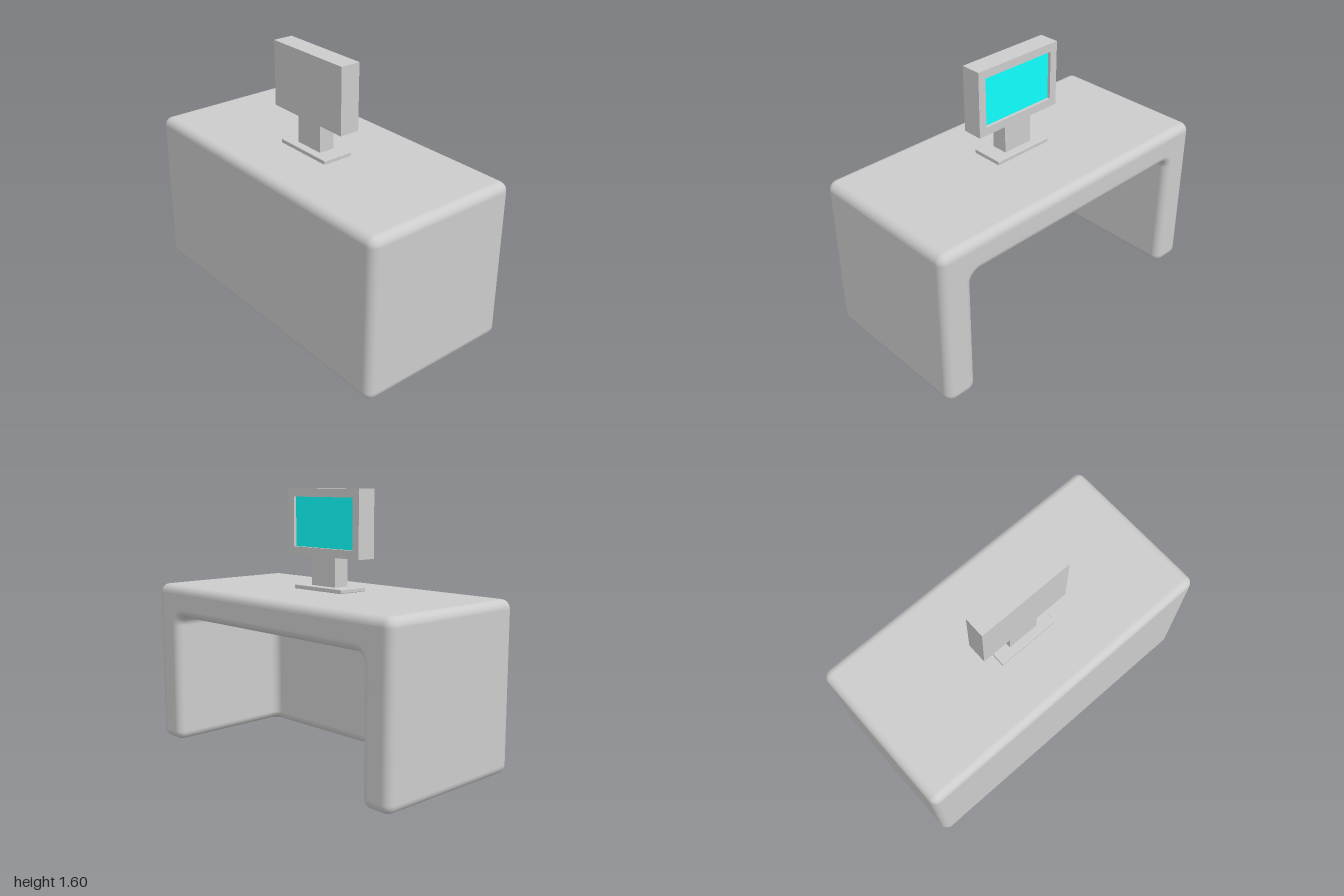
import * as THREE from 'three';
import { mergeVertices } from 'three/addons/utils/BufferGeometryUtils.js';
import { RoundedBoxGeometry } from 'three/addons/geometries/RoundedBoxGeometry.js';

const R = 0.055; // edge rounding of the desk
const N = 8;     // segments per rounded edge
const grey = new THREE.MeshStandardMaterial({ color: 0xcccccc });
const greyDouble = new THREE.MeshStandardMaterial({ color: 0xcccccc, side: THREE.DoubleSide });
const cyan = new THREE.MeshStandardMaterial({ color: 0x10ffff });

function add(group, name, geometry, material = grey, x = 0, y = 0, z = 0) {
  const mesh = new THREE.Mesh(geometry, material);
  mesh.name = name;
  mesh.position.set(x, y, z);
  group.add(mesh);
  return mesh;
}

// Right-angled polygon with every corner rounded by radius r
function roundedShape(corners, r) {
  const pts = [];
  const n = corners.length;
  corners.forEach((c, i) => {
    const p = new THREE.Vector2(...c);
    const toPrev = new THREE.Vector2(...corners[(i + n - 1) % n]).sub(p).setLength(r);
    const toNext = new THREE.Vector2(...corners[(i + 1) % n]).sub(p).setLength(r);
    const centre = p.clone().add(toPrev).add(toNext);
    for (let k = 0; k <= N; k++) {
      const t = (k / N) * Math.PI / 2;
      pts.push(centre.clone().addScaledVector(toNext, -Math.cos(t)).addScaledVector(toPrev, -Math.sin(t)));
    }
  });
  return new THREE.Shape(pts);
}

// Concave fillet where the back panel meets the legs and the underside of the top
function filletGeometry() {
  const wall = 0.8, panelX = -0.3, half = [];
  // each station maps a fillet inset d and depth x to a point [x, y, z]
  half.push(() => [panelX - R, 0, wall + R]);
  for (let k = N; k >= 0; k--) {
    const a = (k / N) * Math.PI / 2;
    const f = R * (1 - Math.cos(a)), y = R * (1 - Math.sin(a));
    half.push((d, x) => [x - f, y, wall - d + f]);
  }
  for (let k = 0; k <= N; k++) {
    const a = (k / N) * Math.PI / 2;
    half.push((d, x) => [x, wall - R + (R - d) * Math.sin(a), wall - R + (R - d) * Math.cos(a)]);
  }
  const mirrored = half.map(s => (d, x) => { const [px, y, z] = s(d, x); return [px, y, -z]; });
  const stations = [...half, ...mirrored.reverse()];
  const position = [], index = [], row = N + 1;
  stations.forEach((station, j) => {
    for (let i = 0; i <= N; i++) {
      const t = (i / N) * Math.PI / 2;
      position.push(...station(R * (1 - Math.cos(t)), panelX + R * (1 - Math.sin(t))));
      if (j && i) {
        const a = (j - 1) * row + i - 1, b = a + 1, c = a + row, d = c + 1;
        index.push(a, c, b, b, c, d);
      }
    }
  });
  const g = new THREE.BufferGeometry();
  g.setAttribute('position', new THREE.Float32BufferAttribute(position, 3));
  g.setIndex(index);
  g.computeVertexNormals();
  // make sure the normals face out of the corner, towards the knee space
  const mid = Math.floor(half.length / 2 + 1) * row + N / 2;
  if (g.attributes.normal.getX(mid) < 0) {
    g.setIndex(index.reverse());
    g.computeVertexNormals();
  }
  return g;
}

function createDesk() {
  const desk = new THREE.Group();
  desk.name = 'desk';

  // top and both legs as one arch, extruded along x with rounded rims
  const outline = roundedShape([
    [-1, 0], [-0.8, 0], [-0.8, 0.8], [0.8, 0.8], [0.8, 0], [1, 0], [1, 1], [-1, 1],
  ], R);
  let arch = new THREE.ExtrudeGeometry(outline, {
    depth: 0.9, bevelEnabled: true, bevelThickness: 0.05, bevelSize: 0.05,
    bevelOffset: -0.05, bevelSegments: N,
  });
  arch.deleteAttribute('uv');
  arch.deleteAttribute('normal');
  arch = mergeVertices(arch, 1e-5);
  arch.computeVertexNormals();
  arch.translate(0, 0, -0.45).rotateY(Math.PI / 2);
  add(desk, 'topAndLegs', arch);

  // back panel, its ends buried in the legs and top
  add(desk, 'backPanel', new RoundedBoxGeometry(0.2, 0.94, 1.86, N, R), grey, -0.4, 0.47, 0);
  add(desk, 'innerFillet', filletGeometry(), greyDouble);
  return desk;
}

function createMonitor() {
  const monitor = new THREE.Group();
  monitor.name = 'monitor';
  add(monitor, 'monitorBase', new RoundedBoxGeometry(0.2, 0.025, 0.4, 2, 0.004), grey, -0.05, 1.0125, 0);
  add(monitor, 'monitorNeck', new THREE.BoxGeometry(0.1, 0.2, 0.2), grey, -0.05, 1.115, 0);
  add(monitor, 'monitorBody', new THREE.BoxGeometry(0.105, 0.4, 0.6), grey, -0.0625, 1.4, 0);

  // bezel around the recessed screen
  const rect = (path, w, h) => path.moveTo(-w, -h).lineTo(w, -h).lineTo(w, h).lineTo(-w, h).closePath();
  const frame = rect(new THREE.Shape(), 0.3, 0.2);
  frame.holes.push(rect(new THREE.Path(), 0.25, 0.15));
  const bezel = new THREE.ExtrudeGeometry(frame, { depth: 0.02, bevelEnabled: false }).rotateY(Math.PI / 2);
  add(monitor, 'bezel', bezel, grey, -0.01, 1.4, 0);
  add(monitor, 'screen', new THREE.BoxGeometry(0.01, 0.298, 0.498), cyan, -0.013, 1.4, 0);
  return monitor;
}

export function createModel() {
  const model = new THREE.Group();
  model.name = 'deskWithMonitor';
  model.add(createDesk(), createMonitor());
  return model;
}
